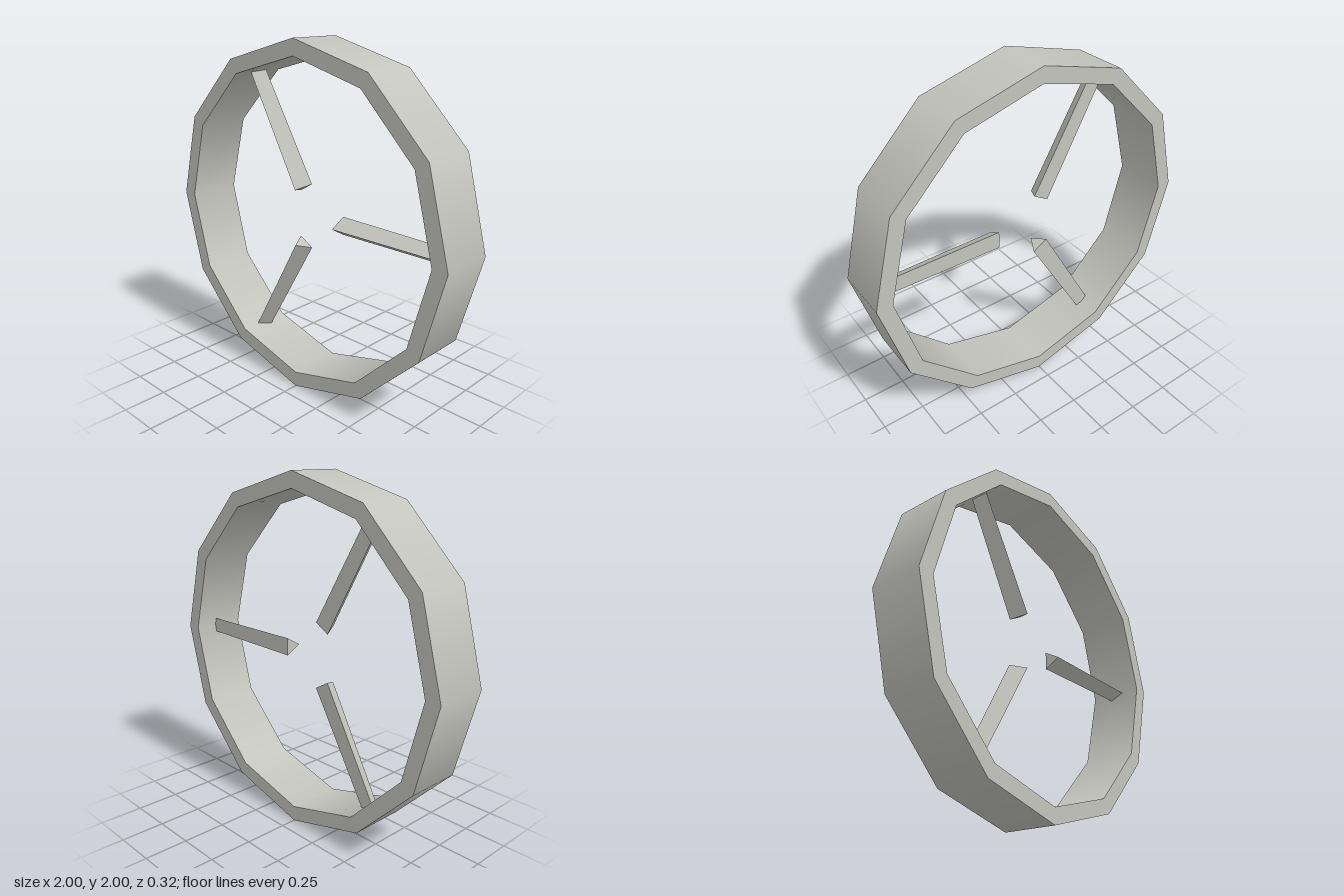
import * as THREE from 'three';

const SIDES = 12, OUTER = 1, INNER = 0.91, HALF = 0.16;

export function createModel() {
  const model = new THREE.Group();
  const grey = new THREE.MeshStandardMaterial({ color: 0xc4c4be });
  grey.name = 'light grey';

  const wheel = new THREE.Group();
  wheel.name = 'wheel';
  wheel.position.y = 1;
  model.add(wheel);

  // Rim: one lathe per wall, so it is smooth around and sharp at its four edges
  const corners = [[OUTER, -HALF], [OUTER, HALF], [INNER, HALF], [INNER, -HALF]]
    .map(([r, z]) => new THREE.Vector2(r, z));
  const walls = ['rimOuterWall', 'rimFrontFace', 'rimInnerWall', 'rimBackFace'];
  const rim = new THREE.Group();
  rim.name = 'rim';
  walls.forEach((name, i) => {
    const geometry = new THREE.LatheGeometry([corners[i], corners[(i + 1) % 4]], SIDES);
    geometry.rotateX(Math.PI / 2);
    const wall = new THREE.Mesh(geometry, grey);
    wall.name = name;
    rim.add(wall);
  });
  wheel.add(rim);

  // Spokes: tapered triangular prisms with the ridge to the front, sunk into the rim
  const start = 0.19, end = 0.95;
  const spokeGeometry = new THREE.CylinderGeometry(0.05, 0.06, end - start, 3).toNonIndexed();
  spokeGeometry.computeVertexNormals();
  spokeGeometry.rotateZ(-Math.PI / 2).translate((start + end) / 2, 0, 0);
  for (let i = 0; i < 3; i++) {
    const spoke = new THREE.Mesh(spokeGeometry, grey);
    spoke.name = `spoke${i + 1}`;
    spoke.rotation.z = (i * 2 * Math.PI) / 3;
    wheel.add(spoke);
  }

  return model;
}
